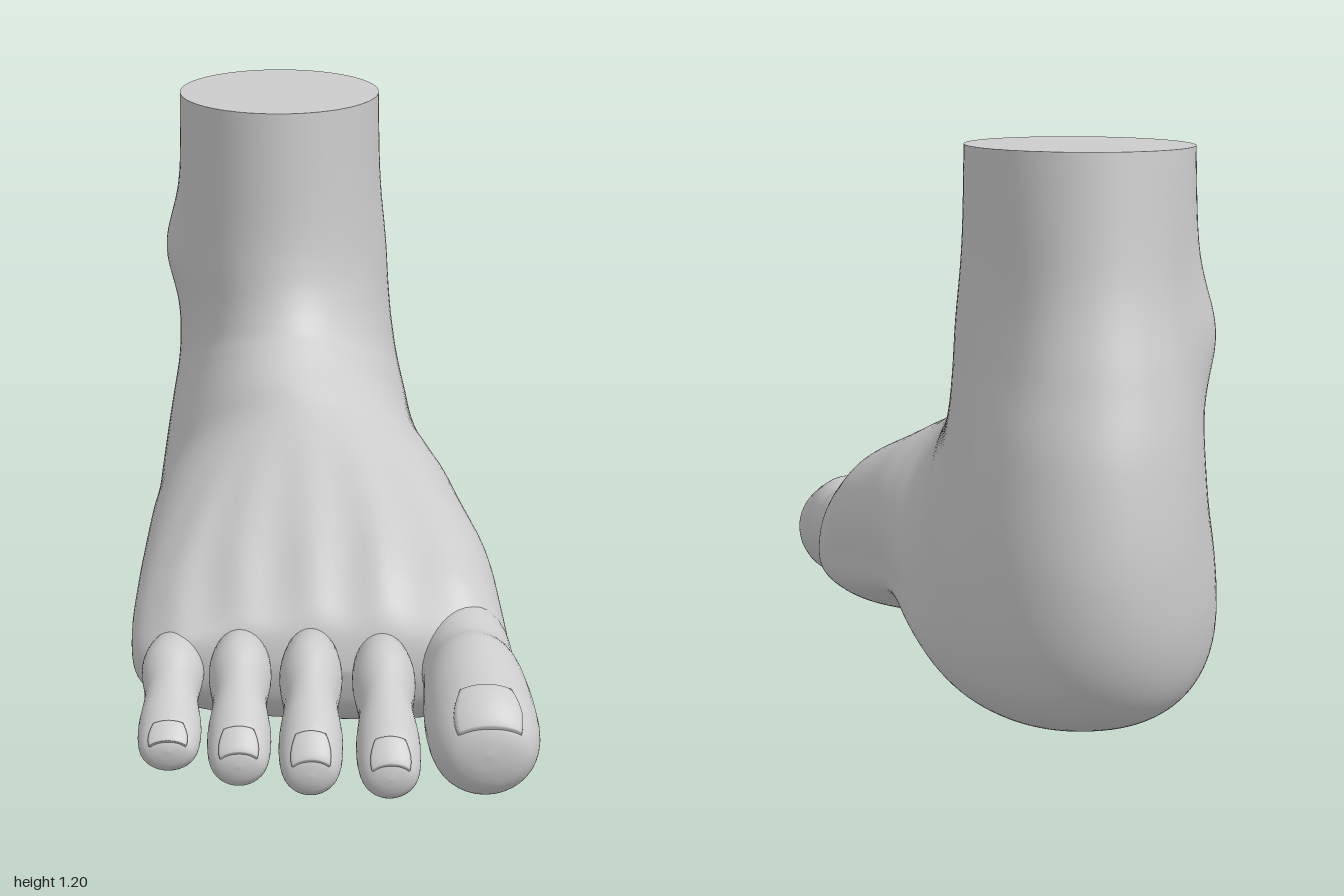
import * as THREE from 'three';
import { ParametricGeometry } from 'three/addons/geometries/ParametricGeometry.js';
import { mergeVertices } from 'three/addons/utils/BufferGeometryUtils.js';

const skin = new THREE.MeshStandardMaterial({ color: 0xcccccc });
const { smoothstep, lerp, clamp } = THREE.MathUtils;
const gauss = (d, w) => Math.exp(-(d * d) / (w * w));

// Catmull-Rom blend between the rows of a small table; t counts rows
function rowAt(rows, t) {
  const n = rows.length - 1;
  const i = clamp(Math.floor(t), 0, n - 1);
  const f = t - i;
  const [a, b, c, d] = [i - 1, i, i + 1, i + 2].map(k => rows[clamp(k, 0, n)]);
  return b.map((_, k) => b[k] + 0.5 * f * (c[k] - a[k]
    + f * (2 * a[k] - 5 * b[k] + 4 * c[k] - d[k] + f * (3 * (b[k] - c[k]) + d[k] - a[k]))));
}

// Smooth mesh over a parametric surface, welded along seams and poles
function surface(name, fn, nu, nv) {
  const geometry = new ParametricGeometry(fn, nu, nv);
  geometry.deleteAttribute('normal');
  geometry.deleteAttribute('uv');
  const welded = mergeVertices(geometry, 1e-5);
  welded.computeVertexNormals();
  const mesh = new THREE.Mesh(welded, skin);
  mesh.name = name;
  return mesh;
}

// Foot sections, fanning from the level ankle cut to the upright forefoot:
// upper z, y, lower z, y, min x, max x
const SECTIONS = [
  [-0.18, 1.205, -0.81, 1.205, -0.33, 0.15],
  [-0.168, 0.95, -0.85, 0.94, -0.333, 0.156],
  [-0.15, 0.83, -0.91, 0.75, -0.337, 0.165],
  [-0.125, 0.76, -0.965, 0.58, -0.335, 0.18],
  [-0.09, 0.71, -0.995, 0.36, -0.342, 0.2],
  [-0.06, 0.685, -0.965, 0.18, -0.36, 0.22],
  [-0.02, 0.655, -0.87, 0.06, -0.375, 0.235],
  [0.03, 0.62, -0.7, 0.01, -0.385, 0.255],
  [0.08, 0.58, -0.5, 0.03, -0.39, 0.28],
  [0.14, 0.545, -0.25, 0.065, -0.4, 0.302],
  [0.22, 0.505, 0, 0.05, -0.412, 0.325],
  [0.31, 0.465, 0.2, 0.03, -0.422, 0.35],
  [0.41, 0.42, 0.39, 0.01, -0.427, 0.378],
  [0.52, 0.36, 0.52, 0.01, -0.42, 0.392],
  [0.59, 0.305, 0.585, 0.035, -0.395, 0.37],
  [0.635, 0.25, 0.63, 0.085, -0.34, 0.315],
  [0.655, 0.17, 0.655, 0.17, 0, 0],
];

// Toe rows: share of length, share of width, top y, bottom y
const BIG_TOE = [
  [0, 0.72, 0.28, 0.09], [0.22, 0.86, 0.29, 0.065], [0.4, 0.86, 0.276, 0.05],
  [0.54, 0.93, 0.285, 0.03], [0.7, 1, 0.262, 0.01], [0.86, 0.97, 0.235, 0.01],
  [0.95, 0.78, 0.2, 0.04], [0.988, 0.48, 0.165, 0.08], [1, 0, 0.125, 0.125],
];
const SMALL_TOE = [
  [0, 0.75, 0.2, 0.09], [0.22, 0.86, 0.245, 0.08], [0.45, 1, 0.262, 0.08],
  [0.62, 0.85, 0.222, 0.05], [0.78, 0.99, 0.182, 0.015], [0.9, 0.95, 0.15, 0.01],
  [0.965, 0.78, 0.118, 0.025], [0.99, 0.48, 0.098, 0.045], [1, 0, 0.07, 0.07],
];
const TOES = [
  { name: 'bigToe', rows: BIG_TOE, base: 0.283, tip: 0.312, z0: 0.48, z1: 0.998, w: 0.114, top: 1.01 },
  { name: 'secondToe', rows: SMALL_TOE, base: 0.11, tip: 0.115, z0: 0.5, z1: 0.985, w: 0.066, top: 0.97 },
  { name: 'thirdToe', rows: SMALL_TOE, base: -0.035, tip: -0.045, z0: 0.49, z1: 0.965, w: 0.066, top: 1.01 },
  { name: 'fourthToe', rows: SMALL_TOE, base: -0.185, tip: -0.19, z0: 0.46, z1: 0.915, w: 0.066, top: 0.94 },
  { name: 'littleToe', rows: SMALL_TOE, base: -0.325, tip: -0.336, z0: 0.42, z1: 0.835, w: 0.066, top: 0.8 },
];

function footPoint(u, v, target) {
  const t = v * (SECTIONS.length - 1);
  const [dz, dy, sz, sy, x0, x1] = rowAt(SECTIONS, t);
  const angle = (u % 1) * Math.PI * 2;
  const c = Math.cos(angle), s = Math.sin(angle);
  const up = Math.max(s, 0);
  // towards the forefoot the widest line drops, the sole flattens and the ridge moves inwards
  const mid = 0.5 - 0.15 * smoothstep(t, 2, 9) + 0.1 * smoothstep(t, 12, 16);
  const power = s < 0 ? 1 - 0.28 * smoothstep(t, 4, 10) * (1 - smoothstep(t, 13, 16)) : 1;
  const shift = 0.12 * smoothstep(t, 6, 13) * (1 - smoothstep(t, 13, 16));
  const across = Math.sign(c) * Math.abs(c) ** power;
  const h = s < 0 ? mid - mid * Math.abs(s) ** power : mid + (1 - mid) * s;
  let x = (x0 + x1) / 2 + across * (x1 - x0) / 2 + shift * up * up;
  let y = lerp(sy, dy, h);
  let z = lerp(sz, dz, h);
  // fuller inner side of the instep
  x += 0.06 * smoothstep(t, 3, 8) * (1 - smoothstep(t, 11, 13)) * Math.max(c, 0) * up;
  // ankle bones, and the hollows behind them
  x -= 0.034 * gauss(y - 0.82, 0.12) * gauss(z + 0.56, 0.15) * Math.max(-c, 0);
  x += 0.01 * gauss(y - 0.82, 0.13) * gauss(z + 0.48, 0.15) * Math.max(c, 0);
  x -= 0.02 * c * gauss(y - 0.85, 0.2) * gauss(z + 0.76, 0.08);
  // inner arch
  const arch = gauss(z + 0.12, 0.28) * smoothstep(x, -0.15, 0.3) * gauss(y - 0.05, 0.25);
  y += 0.075 * arch * Math.max(-s, 0);
  x -= 0.02 * arch;
  // tendons fanning over the instep, with knuckles at their ends
  for (const toe of TOES) {
    const line = lerp(toe.base * 0.4 - 0.03, toe.base, smoothstep(z, -0.15, 0.5));
    const size = 0.012 * smoothstep(z, 0.02, 0.4) + 0.01 * gauss(z - 0.52, 0.1);
    y += size * gauss(x - line, toe.w * 0.65) * up * (1 - smoothstep(t, 14, 16));
  }
  // toe line slants back towards the outer side
  z += 0.1 * x * smoothstep(z, 0.3, 0.6);
  target.set(x, y, z);
}

function toePoint(toe, t, angle, target, grow = 0) {
  const [s, w, top, bottom] = rowAt(toe.rows, t);
  const half = (top - bottom) * toe.top / 2;
  target.set(
    lerp(toe.base, toe.tip, s) + Math.cos(angle) * (w * toe.w + grow),
    bottom + half + Math.sin(angle) * (half + grow),
    lerp(toe.z0, toe.z1, s) + grow * smoothstep(s, 0.8, 1));
}

function makeToe(toe) {
  const group = new THREE.Group();
  group.name = toe.name;
  const last = toe.rows.length - 1;
  group.add(surface(toe.name + 'Skin', (u, v, p) =>
    toePoint(toe, v * last, (u % 1) * Math.PI * 2, p), 36, 56));

  // nail: rounded plate following the toe, its rim sunk into the skin
  const [from, to] = toe.rows === BIG_TOE ? [4.75, 6.7] : [5, 7];
  group.add(surface(toe.name + 'Nail', (u, v, p) => {
    const a = 1 - 2 * u, b = 2 * v - 1;
    const rim = Math.max(Math.abs(a), Math.abs(b));
    const round = b < 0 ? 1 - 0.3 * b * b : 1 - 0.1 * b * b;
    const t = lerp(from, to - 0.35 * a * a, v);
    const width = rowAt(toe.rows, t)[1];
    const angle = Math.acos(clamp(0.64 * a * round / width, -0.92, 0.92));
    toePoint(toe, t, angle, p, rim > 0.99 ? -0.004 : 0.004);
  }, 20, 20));
  return group;
}

export function createModel() {
  const model = new THREE.Group();
  model.name = 'foot';
  model.add(surface('footAndAnkle', footPoint, 112, 150));

  // flat cut across the ankle
  const rim = new THREE.Vector3();
  model.add(surface('ankleCut', (u, v, p) => {
    footPoint(u, 0, rim);
    p.set(-0.09, 1.205, -0.495).lerp(rim, v);
  }, 112, 2));

  for (const toe of TOES) model.add(makeToe(toe));
  return model;
}
